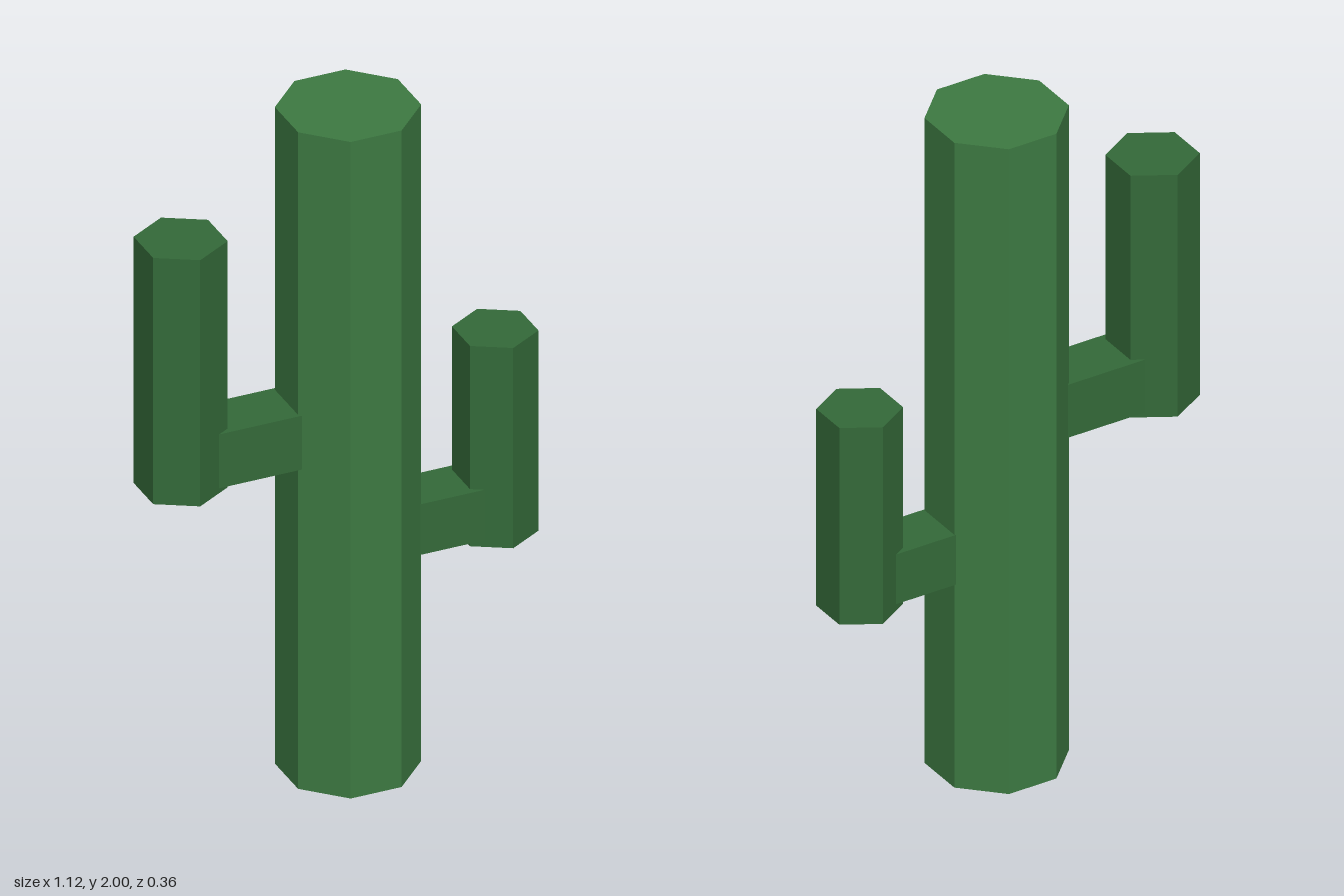
import * as THREE from 'three';

const green = (color) => new THREE.MeshStandardMaterial({ color, flatShading: true, side: THREE.DoubleSide });

// Upright prism standing on y = 0, closed on top and open underneath
function prism(name, radius, height, sides, turn, material) {
  const profile = [[radius, 0], [radius, height], [0, height]].map(([x, y]) => new THREE.Vector2(x, y));
  const mesh = new THREE.Mesh(new THREE.LatheGeometry(profile, sides, turn), material);
  mesh.name = name;
  return mesh;
}

export function createModel() {
  const model = new THREE.Group();
  model.name = 'cactus';
  const trunkGreen = green(0x3d7a42);
  const armGreen = green(0x346a39);

  // Eight-sided trunk with flat faces to the front and sides
  const trunkX = 0.032, trunkHalf = 0.179;
  const trunk = prism('trunk', trunkHalf / Math.cos(Math.PI / 8), 2, 8, Math.PI / 8, trunkGreen);
  trunk.position.x = trunkX;
  model.add(trunk);

  // Each arm: a square branch out of the trunk and a six-sided upright
  const arms = [
    { name: 'leftArm', side: 1, x: 0.46, radius: 0.115, bottom: 0.61, top: 1.22, branchY: 0.707, branchHalf: 0.077 },
    { name: 'rightArm', side: -1, x: -0.455, radius: 0.125, bottom: 0.96, top: 1.71, branchY: 1.057, branchHalf: 0.082 },
  ];
  for (const a of arms) {
    const arm = new THREE.Group();
    arm.name = a.name;

    const upright = prism('upright', a.radius, a.top - a.bottom, 6, 0, armGreen);
    upright.position.set(a.x, a.bottom, 0);

    const startX = trunkX + a.side * (trunkHalf - 0.015);
    const branch = prism('branch', a.branchHalf * Math.SQRT2, Math.abs(a.x - startX), 4, Math.PI / 4, armGreen);
    branch.rotation.z = -a.side * Math.PI / 2;
    branch.position.set(startX, a.branchY, 0);

    arm.add(upright, branch);
    model.add(arm);
  }
  return model;
}
